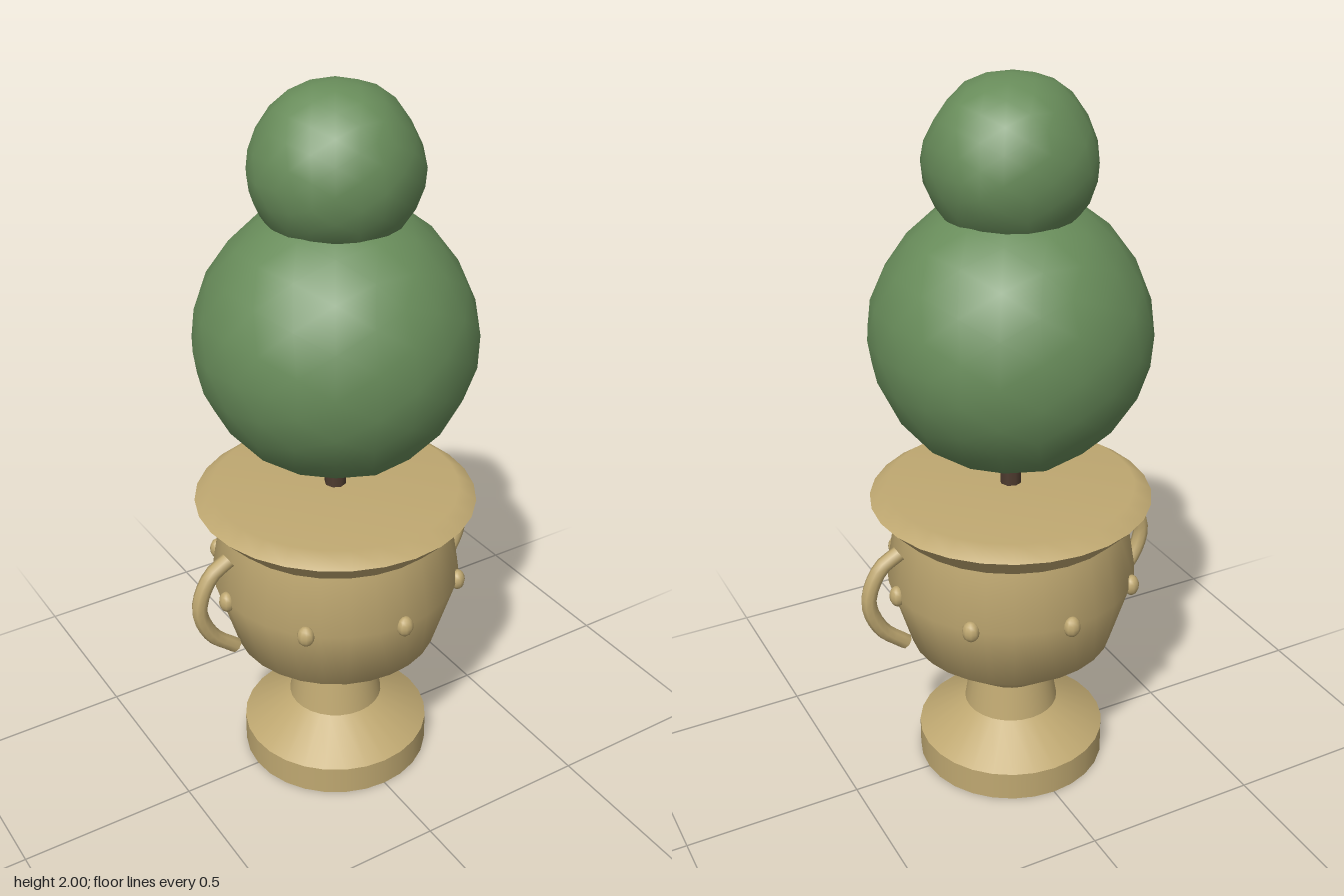
import * as THREE from 'three';
import { mergeVertices } from 'three/addons/utils/BufferGeometryUtils.js';

const mat = (name, color) => {
  const m = new THREE.MeshStandardMaterial({ color });
  m.name = name;
  return m;
};

export function createModel() {
  const stone = mat('sandstone', 0xbfa871);
  const leaf = mat('leaf green', 0x688c5a);
  const bark = mat('bark brown', 0x4e3b2f);
  const model = new THREE.Group();
  model.name = 'topiaryUrn';

  const add = (name, geometry, material, parent = model) => {
    const mesh = new THREE.Mesh(geometry, material);
    mesh.name = name;
    parent.add(mesh);
    return mesh;
  };

  // Turned urn: each section is its own lathe, so the joints stay crisp
  const urn = new THREE.Group();
  urn.name = 'urn';
  model.add(urn);
  const sections = {
    baseUnderside: [[0, 0], [0.27, 0]],
    basePlinth: [[0.27, 0], [0.27, 0.085]],
    baseSlope: [[0.27, 0.085], [0.135, 0.172]],
    neck: [[0.135, 0.172], [0.117, 0.275]],
    bowl: [[0.117, 0.275], [0.288, 0.41], [0.35, 0.615], [0.322, 0.785]],
    rimUnderside: [[0.322, 0.785], [0.388, 0.853]],
    rimTop: [[0.388, 0.853], [0.34, 0.885], [0, 0.885]],
  };
  for (const [name, points] of Object.entries(sections)) {
    const profile = points.map(([r, y]) => new THREE.Vector2(r, y));
    add(name, new THREE.LatheGeometry(profile, 28), stone, urn);
  }

  // Ring of eight studs around the bowl
  for (let i = 0; i < 8; i++) {
    const a = (i * Math.PI) / 4;
    const stud = add('stud', new THREE.SphereGeometry(0.03, 10, 8), stone, urn);
    stud.scale.set(0.8, 1, 0.7);
    stud.position.set(0.35 * Math.sin(a), 0.615, 0.35 * Math.cos(a));
    stud.rotation.y = a;
  }

  // Curved handles with closed ends
  for (const side of [1, -1]) {
    const path = new THREE.CatmullRomCurve3(
      [[0.34, 0.749], [0.395, 0.715], [0.433, 0.62], [0.4, 0.525], [0.329, 0.46]]
        .map(([x, y]) => new THREE.Vector3(side * x, y, 0)));
    const handle = new THREE.Group();
    handle.name = side > 0 ? 'leftHandle' : 'rightHandle';
    urn.add(handle);
    add('handleLoop', new THREE.TubeGeometry(path, 14, 0.022, 8), stone, handle);
    for (const t of [0, 1]) {
      const cap = add('handleEnd', new THREE.CircleGeometry(0.022, 8), stone, handle);
      const outward = path.getTangent(t).multiplyScalar(t ? 1 : -1);
      cap.position.copy(path.getPoint(t));
      cap.quaternion.setFromUnitVectors(new THREE.Vector3(0, 0, 1), outward);
    }
  }

  // Trunk
  add('trunk', new THREE.CylinderGeometry(0.03, 0.03, 0.9, 8), bark).position.y = 1.3;

  // Clipped foliage balls with a gentle unevenness
  const foliage = (name, radius, y, bump) => {
    let g = new THREE.IcosahedronGeometry(radius, 3);
    g.deleteAttribute('normal');
    g.deleteAttribute('uv');
    g = mergeVertices(g, 1e-4);
    const p = g.attributes.position;
    const v = new THREE.Vector3();
    for (let i = 0; i < p.count; i++) {
      v.fromBufferAttribute(p, i);
      const n = v.clone().divideScalar(radius);
      const wave = Math.sin(5 * n.x + 1) * Math.sin(4 * n.y + 2) * Math.cos(5 * n.z + 0.5);
      v.multiplyScalar(1 + bump * wave);
      p.setXYZ(i, v.x, v.y, v.z);
    }
    g.computeVertexNormals();
    add(name, g, leaf).position.y = y;
  };
  foliage('lowerFoliage', 0.374, 1.328, 0.012);
  foliage('upperFoliage', 0.22, 1.781, 0.035);

  return model;
}
